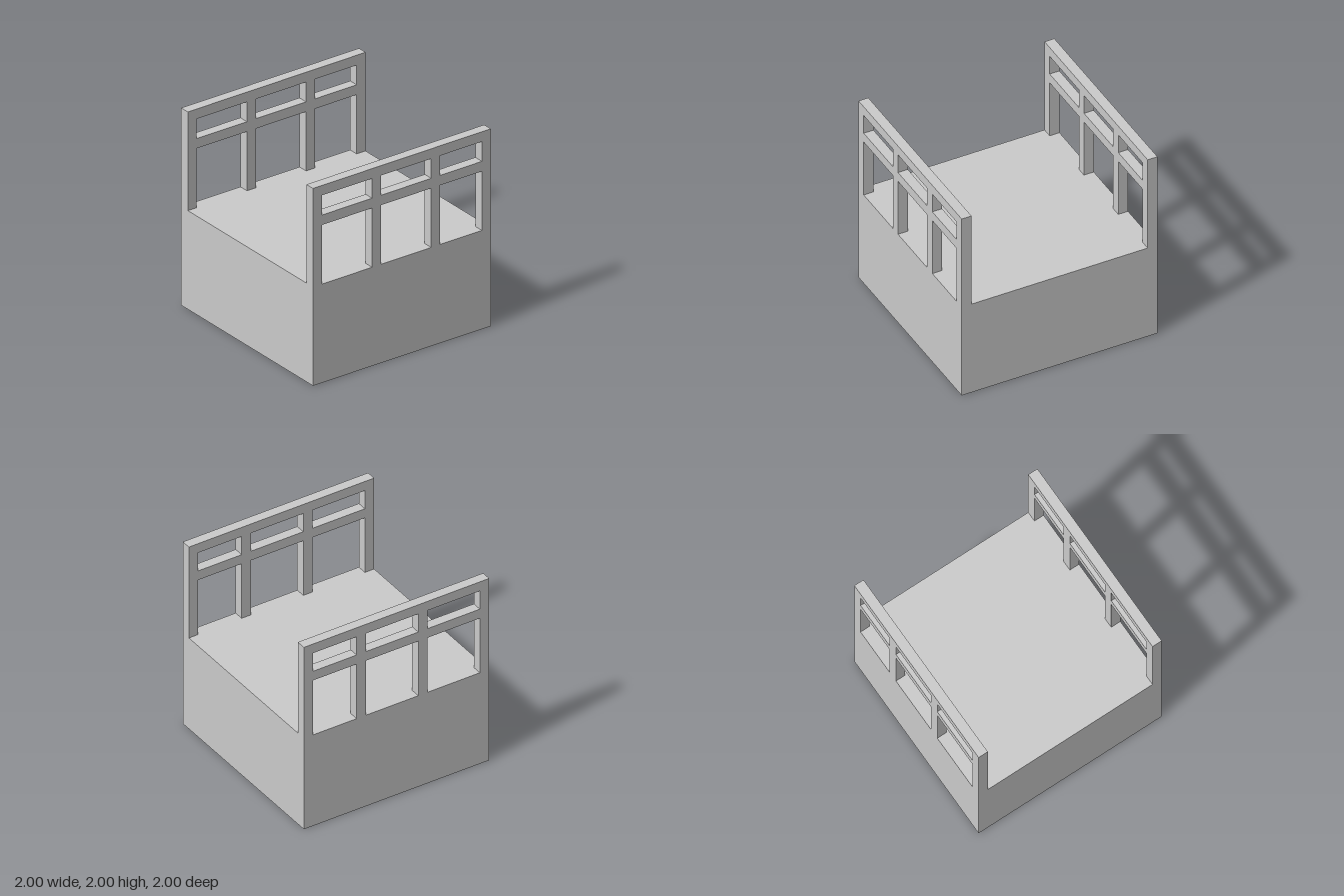
import * as THREE from 'three';

const material = new THREE.MeshStandardMaterial({ color: 0xcccccc, flatShading: true });

// Box given by its minimum and maximum x and y, and its centre and depth in z
function bar(name, x0, x1, y0, y1, z = 0, depth = 0.1) {
  const mesh = new THREE.Mesh(new THREE.BoxGeometry(x1 - x0, y1 - y0, depth), material);
  mesh.name = name;
  mesh.position.set((x0 + x1) / 2, (y0 + y1) / 2, z);
  return mesh;
}

// Railing: four posts, a top rail and a middle rail fitted between the posts
function railing(name, z) {
  const group = new THREE.Group();
  group.name = name;
  const t = 0.1;
  const posts = [-1, -0.335, 0.33, 0.9];
  posts.forEach((x, i) => {
    group.add(bar('post', x, x + t, 1, 1.9, z));
    if (i < posts.length - 1) group.add(bar('middleRail', x + t, posts[i + 1], 1.6, 1.7, z));
  });
  group.add(bar('topRail', -1, 1, 1.9, 2, z));
  return group;
}

export function createModel() {
  const model = new THREE.Group();
  model.name = 'railedPlatform';
  // Solid base block
  model.add(bar('base', -1, 1, 0, 1, 0, 2));
  // Railings along the front and back edges
  model.add(railing('frontRailing', 0.95), railing('backRailing', -0.95));
  return model;
}
